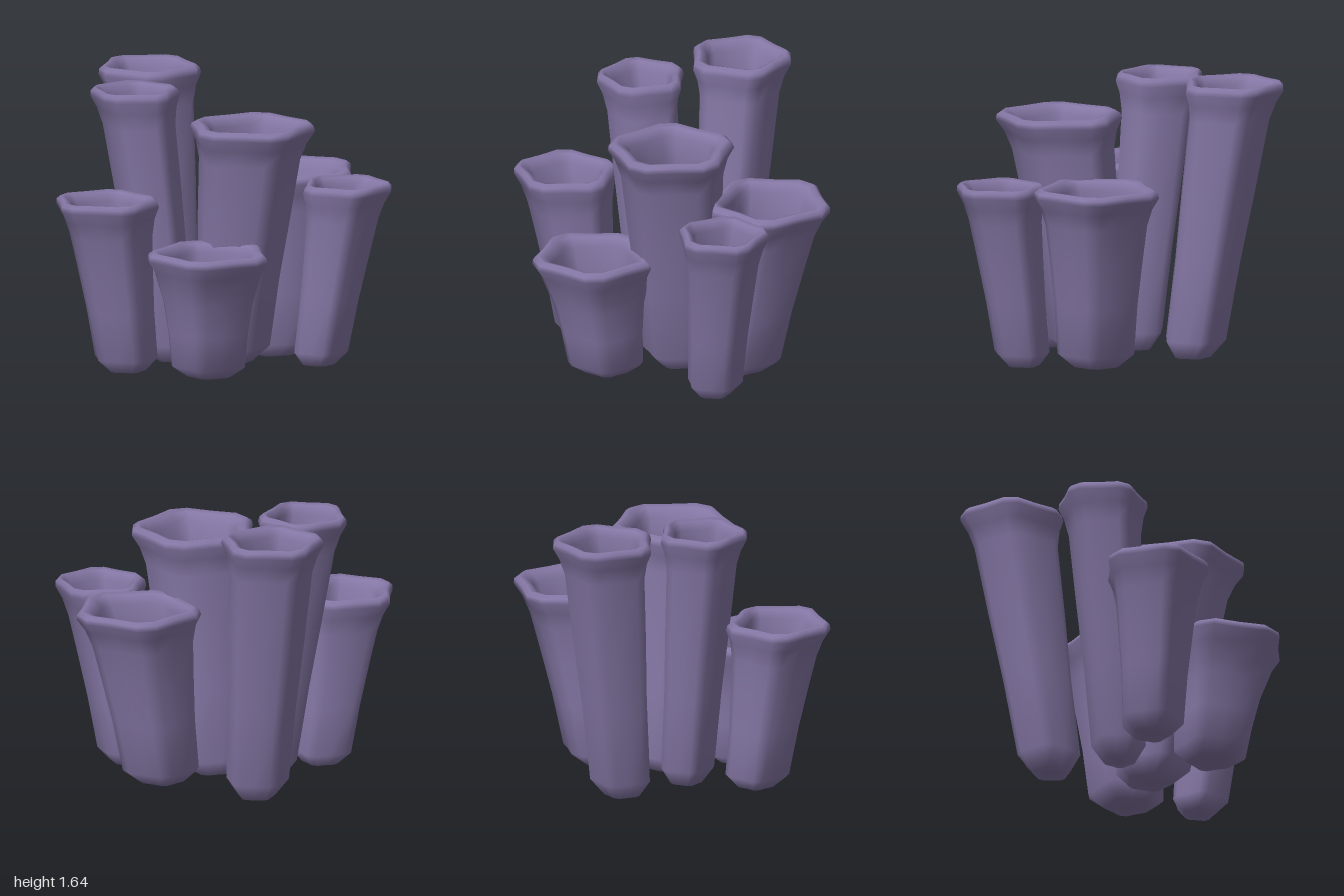
import * as THREE from 'three';

// Tubes: rim centre, base centre (x, z), height, rim radius, corner angle in degrees
const TUBES = [
  { name: 'tallLeaningTube', rim: [-0.677, -0.23], base: [-0.44, -0.18], h: 1.64, r: 0.305, turn: 39 },
  { name: 'tallSlimTube', rim: [-0.293, 0.265], base: [-0.13, 0.12], h: 1.615, r: 0.265, turn: 7 },
  { name: 'centreTube', rim: [0.335, -0.08], base: [0.14, -0.09], h: 1.445, r: 0.375, turn: 90 },
  { name: 'backTube', rim: [0.147, -0.627], base: [0.14, -0.45], h: 1.09, r: 0.373, turn: 62 },
  { name: 'sideTube', rim: [0.71, -0.494], base: [0.565, -0.4], h: 1.09, r: 0.27, turn: 31 },
  { name: 'frontTube', rim: [-0.115, 0.68], base: [-0.085, 0.53], h: 1.04, r: 0.31, turn: 20 },
  { name: 'shortTube', rim: [0.437, 0.365], base: [0.37, 0.3], h: 0.76, r: 0.365, turn: 57 },
];

// Wall profile as [height, radius factor]: up the outside, over the lip, down the inside
function profile(h) {
  return [
    [0, 0], [0, 0.36], [0.03 + h * 0.045, 0.61], [h * 0.35, 0.66], [h * 0.6, 0.74],
    [h - 0.22, 0.81], [h - 0.12, 0.89], [h - 0.05, 1], [h - 0.02, 0.98], [h, 0.9],
    [h - 0.01, 0.79], [h - 0.06, 0.69], [h - 0.2, 0.61], [h * 0.5, 0.5],
    [h * 0.33, 0.33], [h * 0.3, 0],
  ];
}

// Pentagon section with clipped corners: two points per corner and one mid side
function section(turn) {
  const points = [];
  for (let k = 0; k < 5; k++) {
    for (const [offset, radius] of [[-9, 1], [9, 1], [36, 0.87]]) {
      const a = THREE.MathUtils.degToRad(turn + k * 72 + offset);
      points.push([Math.cos(a) * radius, Math.sin(a) * radius]);
    }
  }
  return points;
}

// Skins horizontal rings whose centres slide from the base to the rim
function tubeGeometry({ rim, base, h, r, turn }) {
  const rings = profile(h);
  const ring = section(turn);
  const n = ring.length;
  const positions = [];
  const index = [];
  const starts = [];
  for (const [y, factor] of rings) {
    const t = y / h;
    const cx = THREE.MathUtils.lerp(base[0], rim[0], t);
    const cz = THREE.MathUtils.lerp(base[1], rim[1], t);
    starts.push(positions.length / 3);
    if (factor === 0) positions.push(cx, y, cz);
    else for (const [px, pz] of ring) positions.push(cx + px * r * factor, y, cz + pz * r * factor);
  }
  const last = rings.length - 1;
  for (let i = 0; i < last; i++) {
    for (let j = 0; j < n; j++) {
      const k = (j + 1) % n;
      const a = starts[i];
      const c = starts[i + 1];
      if (i === 0) index.push(a, c + j, c + k);
      else if (i === last - 1) index.push(a + j, c, a + k);
      else index.push(a + j, c + j, a + k, a + k, c + j, c + k);
    }
  }
  const geometry = new THREE.BufferGeometry();
  geometry.setAttribute('position', new THREE.Float32BufferAttribute(positions, 3));
  geometry.setIndex(index);
  geometry.computeVertexNormals();
  return geometry;
}

export function createModel() {
  const group = new THREE.Group();
  group.name = 'tubeCluster';
  const purple = new THREE.MeshStandardMaterial({ color: 0x8577a5 });
  purple.name = 'dusty purple';
  for (const tube of TUBES) {
    const mesh = new THREE.Mesh(tubeGeometry(tube), purple);
    mesh.name = tube.name;
    group.add(mesh);
  }
  return group;
}
